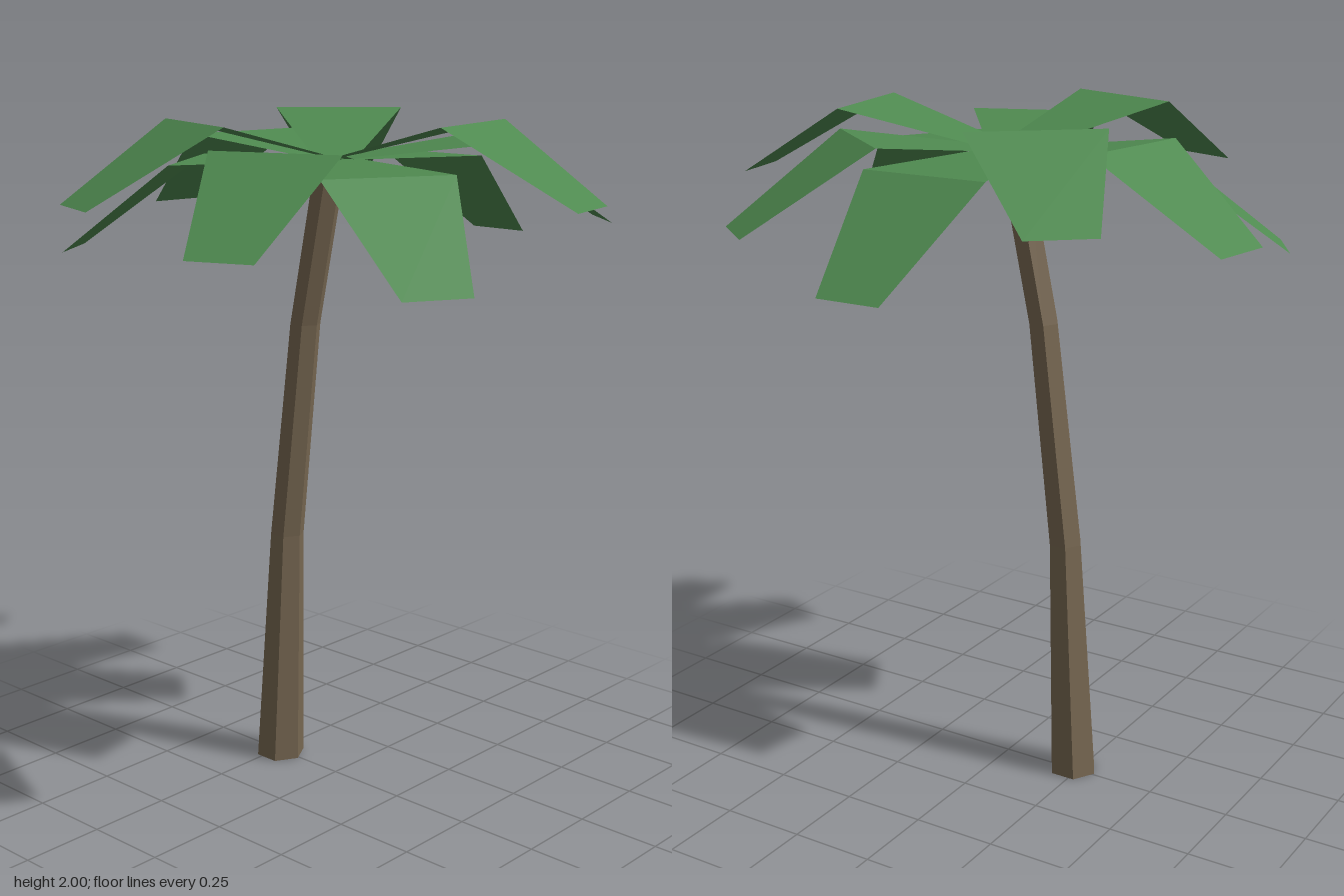
import * as THREE from 'three';

// Faceted strip through matching rows of points
function loft(rows, closed) {
  const pos = [];
  const n = rows[0].length;
  for (let i = 0; i < rows.length - 1; i++) {
    for (let j = 0; j < (closed ? n : n - 1); j++) {
      const k = (j + 1) % n;
      const a = rows[i][j], b = rows[i][k], c = rows[i + 1][k], d = rows[i + 1][j];
      pos.push(...a, ...b, ...c, ...a, ...c, ...d);
    }
  }
  return pos;
}

function toGeometry(pos) {
  const g = new THREE.BufferGeometry();
  g.setAttribute('position', new THREE.Float32BufferAttribute(pos, 3));
  g.computeVertexNormals();
  return g;
}

export function createModel() {
  const bark = new THREE.MeshStandardMaterial({ color: 0x786852, flatShading: true });
  bark.name = 'bark brown';
  const leaf = new THREE.MeshStandardMaterial({ color: 0x4f8a50, flatShading: true, side: THREE.DoubleSide });
  leaf.name = 'leaf green';

  const tree = new THREE.Group();
  tree.name = 'palmTree';

  // Curved six-sided trunk: [centre x, y, radius] for each ring
  const rings = [[-0.23, 0, 0.075], [-0.193, 0.74, 0.052], [-0.113, 1.4, 0.046], [-0.01, 1.885, 0.046]]
    .map(([cx, y, r]) => Array.from({ length: 6 }, (_, i) => {
      const a = -i * Math.PI / 3;
      return [cx + r * Math.cos(a), y, 0.007 + r * Math.sin(a)];
    }));
  const trunkPos = loft(rings, true);
  const bottom = rings[0], top = rings[3];
  for (let i = 1; i < 5; i++) {
    trunkPos.push(...bottom[0], ...bottom[i + 1], ...bottom[i]);
    trunkPos.push(...top[0], ...top[i], ...top[i + 1]);
  }
  const trunk = new THREE.Mesh(toGeometry(trunkPos), bark);
  trunk.name = 'trunk';
  tree.add(trunk);

  // Nine folded fronds in a repeating high, low, middle order: [bend y, tip y]
  const heights = [[2.0, 1.79], [1.875, 1.61], [1.937, 1.7]];
  const crown = new THREE.Group();
  crown.name = 'crown';
  for (let i = 0; i < 9; i++) {
    const [bendY, tipY] = heights[i % 3];
    const rows = [[0, 1.885, 0.056], [0.435, bendY, 0.19], [0.788, tipY, 0.096]]
      .map(([r, y, w]) => [[r, y, -w], [r, y, w]]);
    const frond = new THREE.Mesh(toGeometry(loft(rows, false)), leaf);
    frond.name = 'frond' + (i + 1);
    frond.rotation.y = THREE.MathUtils.degToRad(11.1 - 40 * i);
    crown.add(frond);
  }
  tree.add(crown);
  return tree;
}
